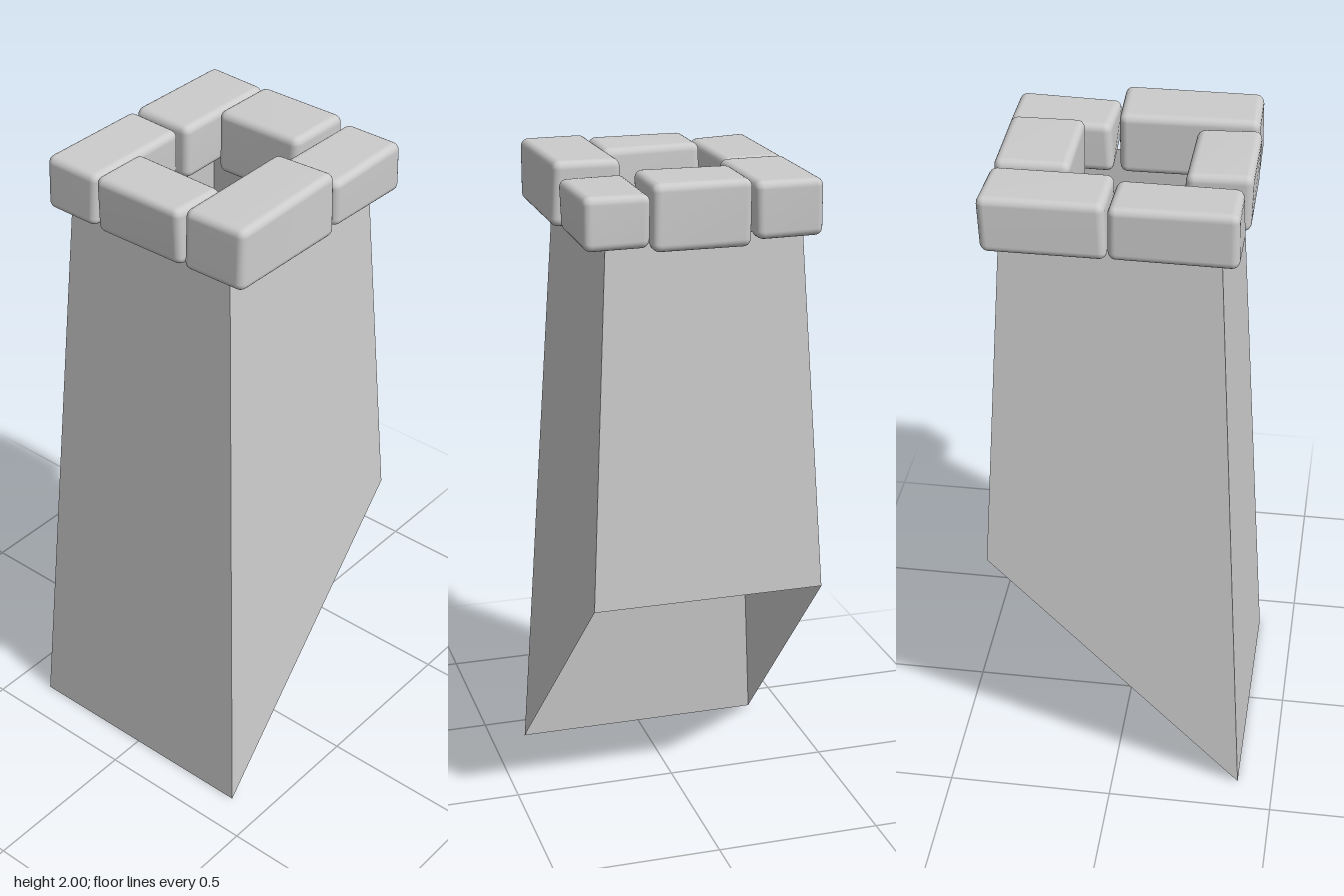
import * as THREE from 'three';
import { RoundedBoxGeometry } from 'three/addons/geometries/RoundedBoxGeometry.js';
import { mergeVertices } from 'three/addons/utils/BufferGeometryUtils.js';

const stoneMaterial = new THREE.MeshStandardMaterial({ color: 0xcccccc });
const wallMaterial = new THREE.MeshStandardMaterial({
  color: 0xcccccc, side: THREE.DoubleSide, flatShading: true,
});

// Small seeded generator, 0 to 1
function seeded(seed) {
  let s = seed * 7919 + 17;
  return () => (s = (s * 16807) % 2147483647) / 2147483647;
}

// Open tapered shaft, its lower rim cut on a slope
function createShaft() {
  const top = [[-0.285, 1.83, 0.285], [0.325, 1.83, 0.285], [0.325, 1.83, -0.285], [-0.285, 1.83, -0.285]];
  const bottom = [[-0.39, 0, 0.39], [0.387, 0.765, 0.345], [0.387, 0.765, -0.345], [-0.39, 0, -0.39]];
  const points = [];
  for (let i = 0; i < 4; i++) {
    const j = (i + 1) % 4;
    points.push(...bottom[i], ...bottom[j], ...top[j], ...bottom[i], ...top[j], ...top[i]);
  }
  const geometry = new THREE.BufferGeometry();
  geometry.setAttribute('position', new THREE.Float32BufferAttribute(points, 3));
  geometry.computeVertexNormals();
  const shaft = new THREE.Mesh(geometry, wallMaterial);
  shaft.name = 'chimneyShaft';
  return shaft;
}

// Worn block filling the given ranges, each of its corners pulled in a little
function createStone(name, [x0, x1], [y0, y1], [z0, z1], seed) {
  const size = new THREE.Vector3(x1 - x0, y1 - y0, z1 - z0);
  let geometry = new RoundedBoxGeometry(size.x, size.y, size.z, 3, 0.024);
  geometry.deleteAttribute('normal');
  geometry.deleteAttribute('uv');
  geometry = mergeVertices(geometry, 1e-4);

  const random = seeded(seed);
  const pull = Array.from({ length: 8 }, () => [random() * 0.012, random() * 0.012, random() * 0.01]);
  const position = geometry.attributes.position;
  const p = new THREE.Vector3();
  for (let i = 0; i < position.count; i++) {
    p.fromBufferAttribute(position, i);
    const t = p.clone().divide(size).addScalar(0.5);
    const offset = new THREE.Vector3();
    pull.forEach(([a, b, c], k) => {
      const sx = k & 1, sy = (k >> 1) & 1, sz = k >> 2;
      const weight = (sx ? t.x : 1 - t.x) * (sy ? t.y : 1 - t.y) * (sz ? t.z : 1 - t.z);
      offset.x += weight * a * (sx ? -1 : 1);
      offset.y += weight * b * (sy ? -1 : 0.3);
      offset.z += weight * c * (sz ? -1 : 1);
    });
    p.add(offset);
    position.setXYZ(i, p.x, p.y, p.z);
  }
  geometry.computeVertexNormals();
  const stone = new THREE.Mesh(geometry, stoneMaterial);
  stone.name = name;
  stone.position.set((x0 + x1) / 2, (y0 + y1) / 2, (z0 + z1) / 2);
  return stone;
}

export function createModel() {
  const model = new THREE.Group();
  model.name = 'chimney';
  model.add(createShaft());

  // Ring of six cap stones: x, y and z ranges
  const ring = new THREE.Group();
  ring.name = 'capStones';
  const stones = [
    ['frontRightStone', [-0.345, 0.068], [1.812, 2.003], [0.163, 0.372]],
    ['frontLeftStone', [0.073, 0.383], [1.812, 1.967], [0.163, 0.358]],
    ['leftStone', [0.148, 0.37], [1.793, 1.99], [-0.133, 0.162]],
    ['backLeftStone', [0.018, 0.38], [1.81, 1.982], [-0.338, -0.128]],
    ['backRightStone', [-0.34, 0.022], [1.81, 1.978], [-0.335, -0.146]],
    ['rightStone', [-0.352, -0.156], [1.815, 1.988], [-0.142, 0.166]],
  ];
  stones.forEach((stone, i) => ring.add(createStone(...stone, i + 1)));
  model.add(ring);
  return model;
}
